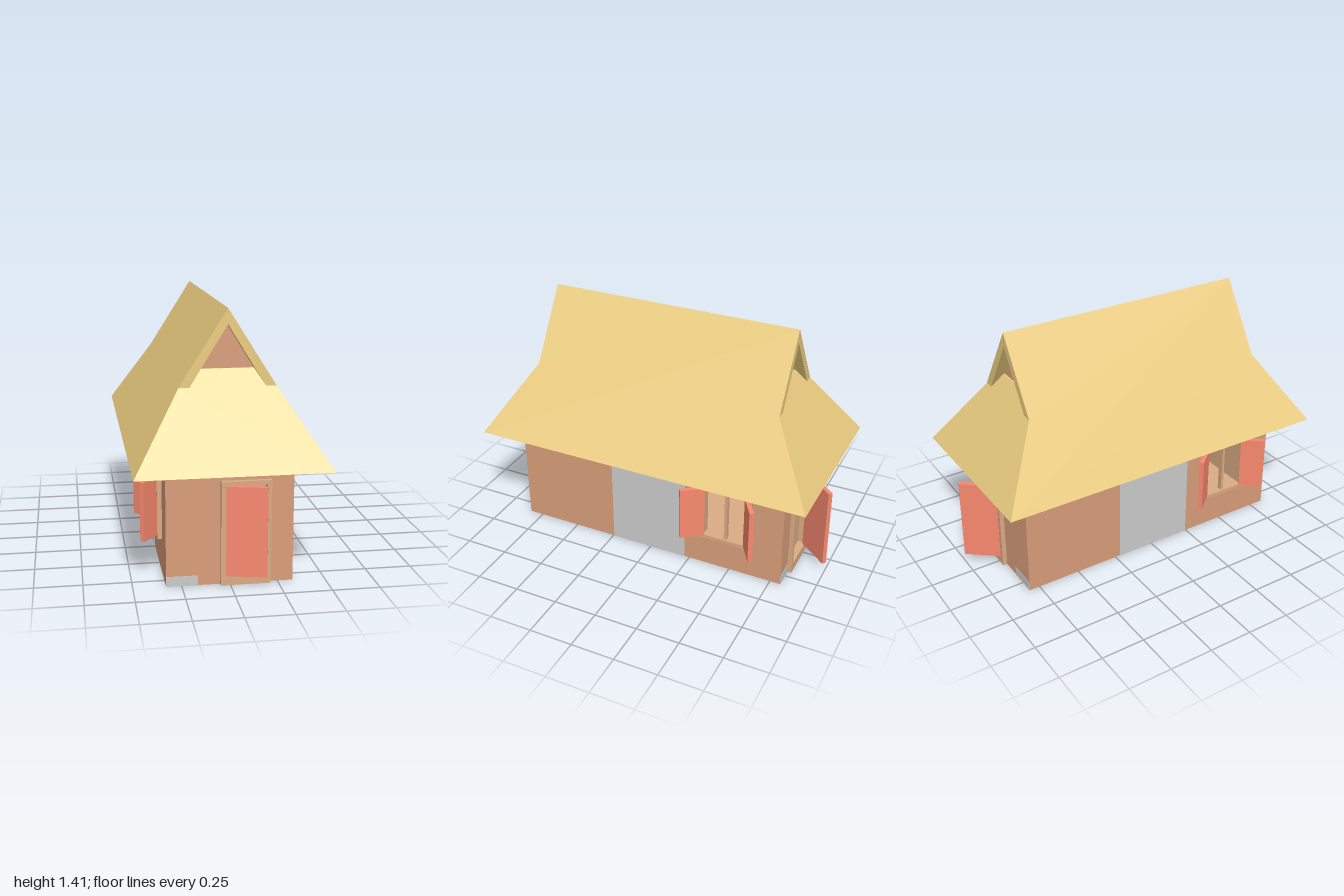
import * as THREE from 'three';

const mat = (color) => new THREE.MeshStandardMaterial({ color, flatShading: true, side: THREE.DoubleSide });
const WALL = mat(0xd99e7a), TAN = mat(0xd9ab84), RED = mat(0xf9896f), ROOF = mat(0xebcd80), GREY = mat(0xcccccc);

const HX = 0.33, HZ = 0.8225, WALL_TOP = 0.79;      // house half sizes and wall height
const EAVE = 0.62, KINK = 1.015, RIDGE = 1.41;      // roof heights

function add(parent, name, geometry, material, x = 0, y = 0, z = 0) {
  const mesh = new THREE.Mesh(geometry, material);
  mesh.name = name;
  mesh.position.set(x, y, z);
  parent.add(mesh);
  return mesh;
}

// Rectangular panel in the xy plane with an optional rectangular hole
function panel(x0, x1, y0, y1, depth, hole) {
  const rect = (path, a, b, c, d) => path.moveTo(a, c).lineTo(b, c).lineTo(b, d).lineTo(a, d).closePath();
  const shape = rect(new THREE.Shape(), x0, x1, y0, y1);
  if (hole) shape.holes.push(rect(new THREE.Path(), ...hole));
  return new THREE.ExtrudeGeometry(shape, { depth, bevelEnabled: false });
}

// Slab between two matching outlines; u is the axis used with y to triangulate
function slab(outer, inner, u) {
  const n = outer.length;
  const tris = THREE.ShapeUtils.triangulateShape(outer.map((p) => new THREE.Vector2(p[u], p[1])), []);
  const index = [];
  for (const [a, b, c] of tris) index.push(a, b, c, n + a, n + c, n + b);
  for (let i = 0; i < n; i++) {
    const j = (i + 1) % n;
    index.push(i, n + i, j, j, n + i, n + j);
  }
  const g = new THREE.BufferGeometry();
  g.setAttribute('position', new THREE.Float32BufferAttribute([...outer, ...inner].flat(), 3));
  g.setIndex(index);
  const flat = g.toNonIndexed();
  flat.computeVertexNormals();
  return flat;
}

// One wall facing local +z, with a framed opening and hinged leaves
function facade({ name, half, dist, turn, frame, opening, leaves, leafName, mullion, greys }) {
  const g = new THREE.Group();
  g.name = name;
  g.rotation.y = turn;
  add(g, 'wall', panel(-half, half, 0, WALL_TOP, 0.02, frame), WALL, 0, 0, dist - 0.02);
  add(g, 'wallLining', panel(-half + 0.02, half - 0.02, 0.01, WALL_TOP - 0.01, 0.02, frame), TAN, 0, 0, dist - 0.04);
  add(g, 'openingFrame', panel(...frame, 0.065, opening), TAN, 0, 0, dist - 0.04);
  const [x0, x1, y0, y1] = opening;
  if (mullion) {
    add(g, 'mullion', new THREE.BoxGeometry(0.016, y1 - y0, 0.03), TAN, (x0 + x1) / 2, (y0 + y1) / 2, dist);
  }
  // Leaves swing on a hinge; the angle is measured from local +x outwards
  for (const [hinge, width, angle] of leaves) {
    const leaf = new THREE.BoxGeometry(width, y1 - y0, 0.025).translate(width / 2, 0, 0);
    const mesh = add(g, leafName, leaf, RED, hinge, (y0 + y1) / 2, dist + 0.02);
    mesh.rotation.y = -THREE.MathUtils.degToRad(angle);
  }
  for (const [a, b, top] of greys) {
    add(g, 'greyPatch', panel(a, b, 0, top, 0.003), GREY, 0, 0, dist - 0.001);
  }
  return g;
}

function buildWalls(house) {
  // Front and back walls with doors
  house.add(facade({
    name: 'frontWall', half: HX, dist: HZ, turn: 0, leafName: 'frontDoor',
    frame: [-0.05, 0.21, 0.0005, 0.553], opening: [-0.025, 0.187, 0.053, 0.53],
    leaves: [[-0.022, 0.21, 13]], greys: [[-HX, -0.165, 0.053]],
  }));
  house.add(facade({
    name: 'backWall', half: HX, dist: HZ, turn: Math.PI, leafName: 'backDoor',
    frame: [-0.21, 0.05, 0.0005, 0.553], opening: [-0.187, 0.025, 0.053, 0.53],
    leaves: [[0.022, 0.21, 129]], greys: [[-HX, -0.21, 0.053], [0.165, HX, 0.053]],
  }));
  // Side walls with shuttered windows, turned half round from each other
  const sides = [['leftWall', Math.PI / 2, 145, 58], ['rightWall', -Math.PI / 2, 140, 40]];
  for (const [name, turn, angleA, angleB] of sides) {
    house.add(facade({
      name, half: HZ, dist: HX, turn, leafName: 'shutter', mullion: true,
      frame: [0.3375, 0.64, 0.192, 0.553], opening: [0.358, 0.62, 0.213, 0.53],
      leaves: [[0.36, 0.14, angleA], [0.612, 0.14, angleB]],
      greys: [[-0.2325, 0.2325, WALL_TOP]],
    }));
  }
  add(house, 'floor', new THREE.BoxGeometry(HX * 2 - 0.04, 0.05, HZ * 2 - 0.04), TAN, 0, 0.026, 0);
}

function buildRoof(house) {
  const roof = new THREE.Group();
  roof.name = 'roof';
  const E = 0.9875, G = 0.7325;                     // half lengths at eave and ridge
  const sideOuter = [[0.5, EAVE, E], [0.25, KINK, G], [0, RIDGE, G], [0, RIDGE, -G], [0.25, KINK, -G], [0.5, EAVE, -E]];
  const sideInner = [[0.45, EAVE, E - 0.05], [0.195, KINK, G], [0, 1.33, G], [0, 1.33, -G], [0.195, KINK, -G], [0.45, EAVE, 0.05 - E]];
  const mirrorX = (pts) => [...pts, ...pts.map(([x, y, z]) => [-x, y, z]).reverse()];
  const hipOuter = mirrorX([[0.5, EAVE, E], [0.25, KINK, G], [0.146, 1.1, 0.678]]);
  const hipInner = mirrorX([[0.45, EAVE, E - 0.05], [0.2, KINK, G - 0.05], [0.146, 1.1, 0.628]]);
  // Small recessed gable above each hip
  const gable = new THREE.Shape([[-0.19, 1.04], [0.19, 1.04], [0, 1.34]].map((p) => new THREE.Vector2(...p)));
  for (const turn of [0, Math.PI]) {
    const half = new THREE.Group();
    half.name = turn ? 'roofBackHalf' : 'roofFrontHalf';
    half.rotation.y = turn;
    add(half, 'roofSlope', slab(sideOuter, sideInner, 2), ROOF);
    add(half, 'roofHip', slab(hipOuter, hipInner, 0), ROOF);
    add(half, 'gableWall', new THREE.ShapeGeometry(gable), WALL, 0, 0, 0.67);
    roof.add(half);
  }
  house.add(roof);
}

export function createModel() {
  const house = new THREE.Group();
  house.name = 'thatchedHouse';
  buildWalls(house);
  buildRoof(house);
  house.position.z = 0.0125;
  const model = new THREE.Group();
  model.name = 'model';
  model.add(house);
  return model;
}
